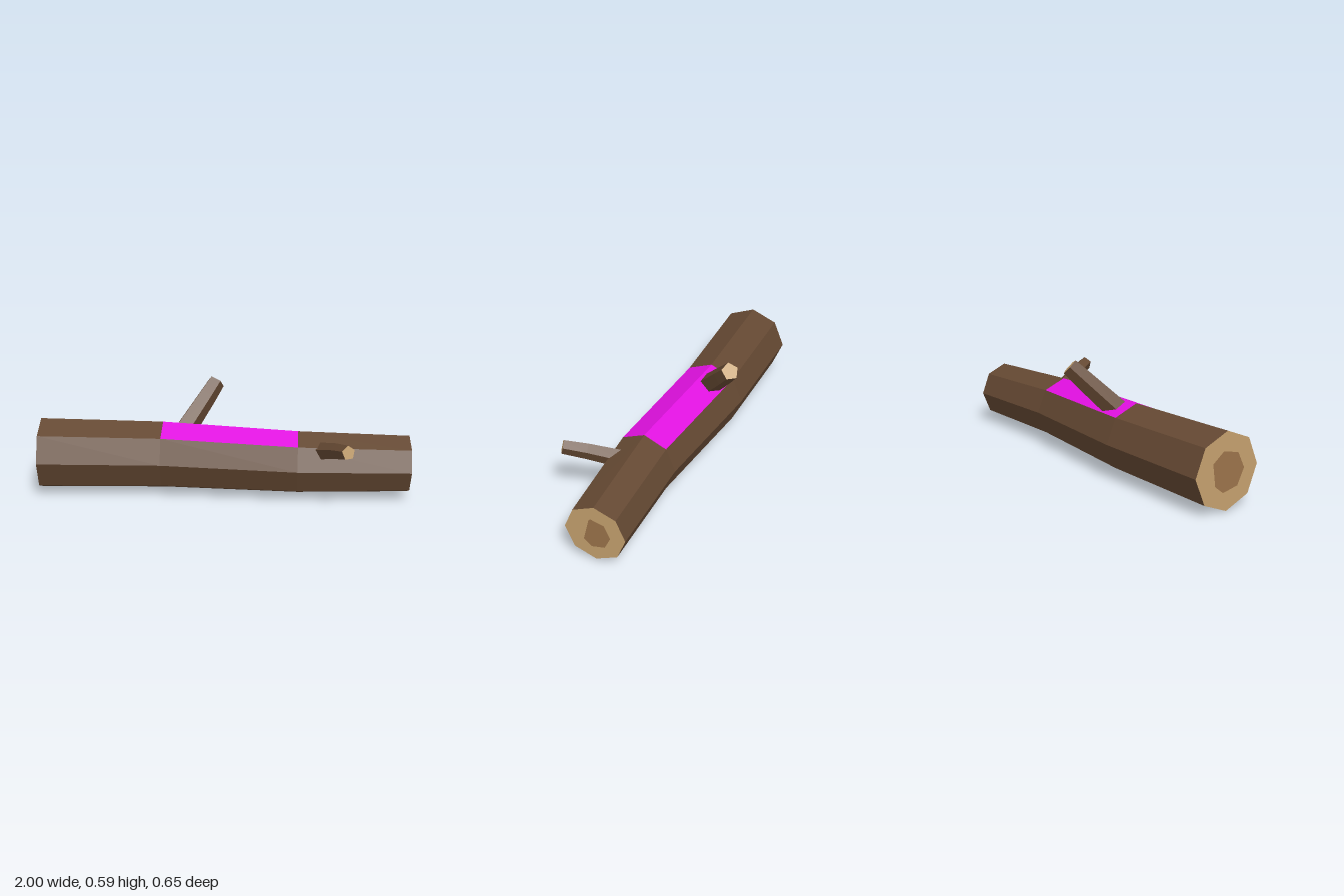
import * as THREE from 'three';

const mat = (name, color) => {
  const m = new THREE.MeshStandardMaterial({ color, flatShading: true });
  m.name = name;
  return m;
};
const V = (x, y, z) => new THREE.Vector3(x, y, z);

// Ring of points around a centre, square to the tangent, first point towards "ref"
function ring({ c, t, r }, n, ref) {
  const tangent = t.clone().normalize();
  const u = ref.clone().addScaledVector(tangent, -ref.dot(tangent)).normalize();
  const v = tangent.clone().cross(u);
  return Array.from({ length: n }, (_, i) => {
    const a = (i / n) * Math.PI * 2;
    return c.clone().addScaledVector(u, r * Math.cos(a)).addScaledVector(v, r * Math.sin(a));
  });
}

function meshFrom(points, material, name) {
  const geometry = new THREE.BufferGeometry().setFromPoints(points);
  geometry.computeVertexNormals();
  const mesh = new THREE.Mesh(geometry, material);
  mesh.name = name;
  return mesh;
}

// Side faces between rings; "keep" chooses which faces belong to the mesh
function sides(rings, keep = () => true) {
  const out = [];
  for (let s = 0; s < rings.length - 1; s++) {
    const a = rings[s], b = rings[s + 1], n = a.length;
    for (let i = 0; i < n; i++) {
      if (!keep(s, i)) continue;
      const j = (i + 1) % n;
      out.push(a[i], a[j], b[j], a[i], b[j], b[i]);
    }
  }
  return out;
}

// Flat end face, optionally facing backwards
function cap(pts, backwards = false) {
  const out = [];
  for (let i = 1; i < pts.length - 1; i++) {
    out.push(pts[0], ...(backwards ? [pts[i + 1], pts[i]] : [pts[i], pts[i + 1]]));
  }
  return out;
}

export function createModel() {
  const bark = mat('bark brown', 0x644832);
  const wood = mat('cut wood tan', 0xc4a06e);
  const heart = mat('heartwood brown', 0x9b734a);
  const magenta = mat('magenta', 0xe010e0);
  const up = V(0, 1, 0);
  const model = new THREE.Group();
  model.name = 'fallenLog';

  // Trunk: eight-sided, slightly bent and tapered
  const trunk = [
    { c: V(-0.993, 0.2, -0.04), t: V(1, -0.005, -0.037), r: 0.197 },
    { c: V(-0.33, 0.197, -0.065), t: V(1, 0, 0), r: 0.187 },
    { c: V(0.4, 0.187, -0.022), t: V(1, 0, 0), r: 0.173 },
    { c: V(0.99, 0.178, -0.059), t: V(1, -0.016, -0.063), r: 0.158 },
  ].map((s) => ring(s, 8, up));
  const isPatch = (s, i) => s === 1 && (i === 0 || i === 7);
  model.add(
    meshFrom(sides(trunk, (s, i) => !isPatch(s, i)), bark, 'trunkBark'),
    meshFrom(sides(trunk, isPatch), magenta, 'topPatch'),
    meshFrom(cap(trunk[0], true), wood, 'rightCutFace'),
    meshFrom(cap(trunk[3]), wood, 'leftCutFace'),
  );

  // Heartwood: upright seven-sided discs partly sunk in the tilted cut faces
  const axis = V(1, 0, 0), back = V(0, 0, -1);
  const heartR = ring({ c: V(-0.996, 0.2, -0.04), t: axis, r: 0.105 }, 7, V(0, 0, 1));
  const heartL = ring({ c: V(0.993, 0.178, -0.059), t: axis, r: 0.084 }, 7, back);
  model.add(
    meshFrom(cap(heartR, true), heart, 'rightHeartwood'),
    meshFrom(cap(heartL), heart, 'leftHeartwood'),
  );

  // Branch stubs: five-sided, bent once, with a cut tip
  const addBranch = (name, path, radii, ref) => {
    const rings = path.map((c, i) => {
      const t = path[Math.min(i + 1, 2)].clone().sub(path[Math.max(i - 1, 0)]);
      return ring({ c, t, r: radii[i] }, 5, ref);
    });
    const branch = new THREE.Group();
    branch.name = name;
    branch.add(
      meshFrom(sides(rings), bark, name + 'Bark'),
      meshFrom(cap(rings[2]), wood, name + 'Tip'),
    );
    model.add(branch);
  };
  addBranch('backBranch',
    [V(-0.23, 0.31, -0.085), V(-0.105, 0.485, -0.232), V(-0.058, 0.553, -0.289)],
    [0.062, 0.053, 0.048], V(0, -0.62, -0.79));
  addBranch('frontBranch',
    [V(0.51, 0.268, 0.035), V(0.6, 0.326, 0.2), V(0.655, 0.355, 0.304)],
    [0.049, 0.043, 0.038], up);

  return model;
}
